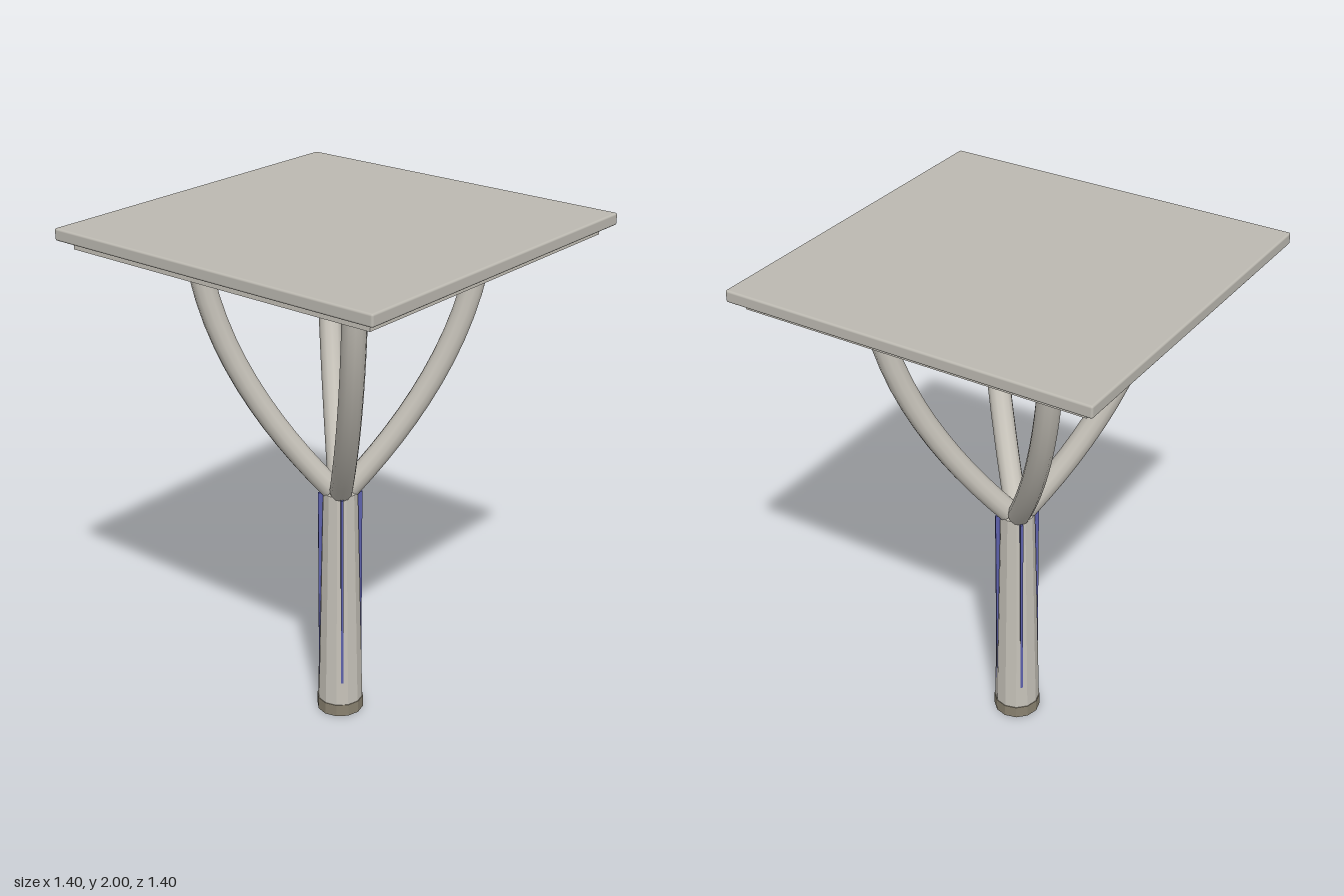
import * as THREE from 'three';
import { RoundedBoxGeometry } from 'three/addons/geometries/RoundedBoxGeometry.js';

const mat = (name, color) => {
  const m = new THREE.MeshStandardMaterial({ color });
  m.name = name;
  return m;
};

export function createModel() {
  const model = new THREE.Group();
  model.name = 'branchingCanopy';
  const slabStone = mat('slab stone', 0xbdbab2);
  const paleStone = mat('pale stone', 0xc6c2b9);
  const footStone = mat('foot stone', 0x8a8270);
  const blue = mat('muted blue', 0x5c60aa);

  const add = (name, geometry, material, parent = model) => {
    const mesh = new THREE.Mesh(geometry, material);
    mesh.name = name;
    parent.add(mesh);
    return mesh;
  };

  // Faceted tapered trunk and its foot ring
  const faceted = (rTop, rBottom, y0, y1) => {
    const g = new THREE.CylinderGeometry(rTop, rBottom, y1 - y0, 12).toNonIndexed();
    g.computeVertexNormals();
    return g.translate(0, (y0 + y1) / 2, 0);
  };
  add('trunk', faceted(0.068, 0.09, 0.02, 0.95), paleStone);
  add('footRing', faceted(0.092, 0.092, 0, 0.05), footStone);

  // Four curved branches and four upright inlays, all on the diagonals
  const top = new THREE.Vector3(0.505, 1.9, 0);
  const curve = new THREE.QuadraticBezierCurve3(
    new THREE.Vector3(0.035, 0.965, 0), new THREE.Vector3(0.453, 1.44, 0), top);
  const radius = 0.044;
  const tube = new THREE.TubeGeometry(curve, 12, radius, 12, false);
  const cap = new THREE.CircleGeometry(radius, 12);
  const up = curve.getTangent(1);
  for (let i = 0; i < 4; i++) {
    const arm = new THREE.Group();
    arm.name = 'branch' + (i + 1);
    arm.rotation.y = Math.PI / 4 + i * Math.PI / 2;
    add('branchTube', tube, paleStone, arm);
    const end = add('branchEnd', cap, paleStone, arm);
    end.position.copy(top);
    end.quaternion.setFromUnitVectors(new THREE.Vector3(0, 0, 1), up);
    // The straight inlay emerges as the trunk narrows
    const inlay = add('trunkInlay', new THREE.BoxGeometry(0.03, 0.8, 0.01), blue, arm);
    inlay.position.set(0.069, 0.545, 0);
    model.add(arm);
  }

  // Stepped canopy with a coloured soffit
  add('canopySlab', new RoundedBoxGeometry(1.405, 0.045, 1.405, 2, 0.008), slabStone)
    .position.y = 1.9775;
  add('canopyLedge', new THREE.BoxGeometry(1.315, 0.034, 1.315), paleStone)
    .position.y = 1.939;
  add('soffitPanel', new THREE.BoxGeometry(1.12, 0.008, 1.12), blue)
    .position.y = 1.919;

  return model;
}
